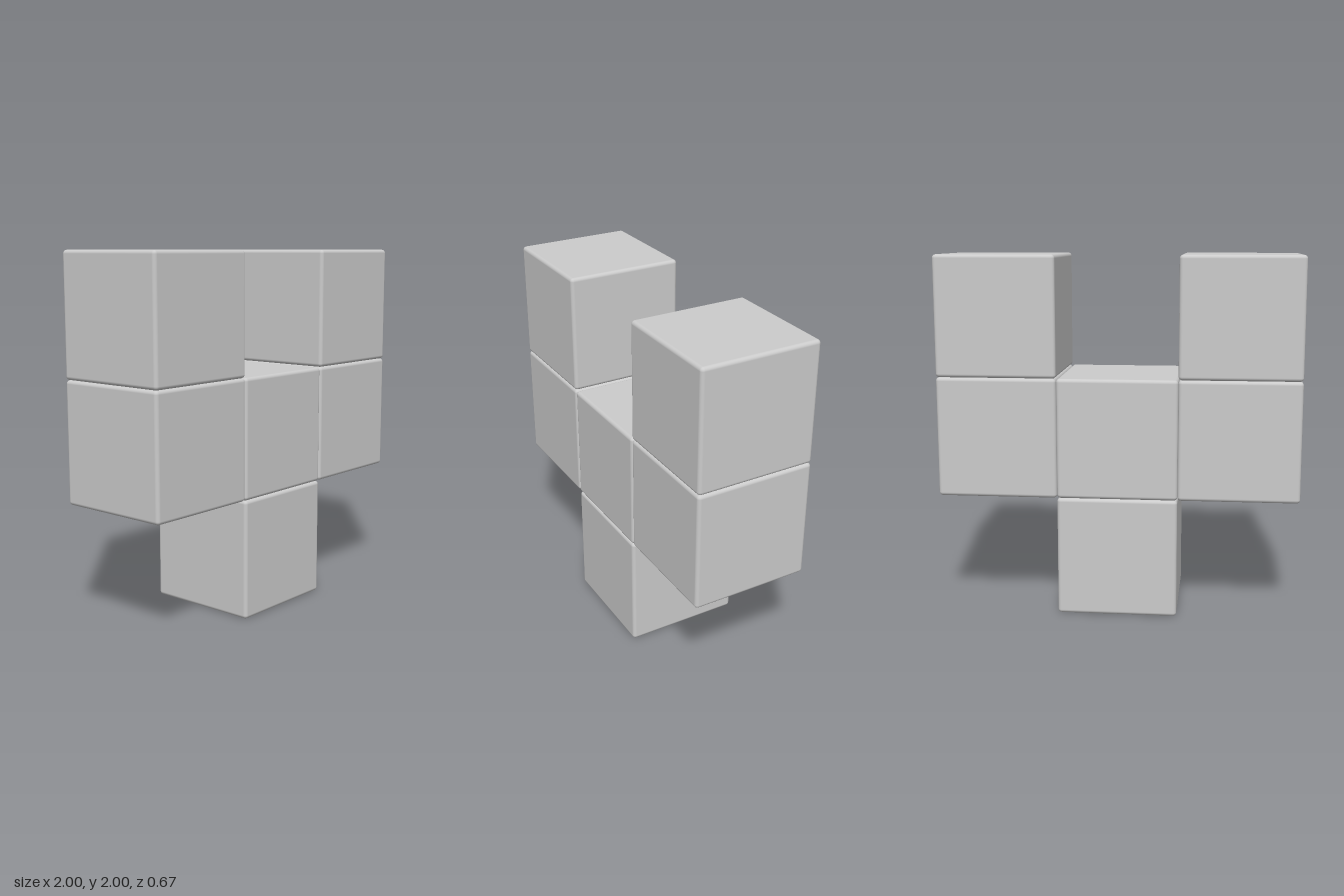
import * as THREE from 'three';
import { RoundedBoxGeometry } from 'three/addons/geometries/RoundedBoxGeometry.js';

export function createModel() {
  const model = new THREE.Group();
  model.name = 'cubeFigure';

  const size = 2 / 3;
  const material = new THREE.MeshStandardMaterial({ color: 0xcccccc });
  // One softly bevelled cube shared by every block
  const cube = new RoundedBoxGeometry(size, size, size, 3, 0.02);

  function addBlock(name, column, row) {
    const block = new THREE.Mesh(cube, material);
    block.name = name;
    block.position.set(column * size, (row + 0.5) * size, 0);
    model.add(block);
  }

  // Central column
  addBlock('baseBlock', 0, 0);
  addBlock('centreBlock', 0, 1);

  // Mirrored arms: one block out, one block up
  for (const [side, column] of [['left', 1], ['right', -1]]) {
    addBlock(side + 'LowerBlock', column, 1);
    addBlock(side + 'UpperBlock', column, 2);
  }

  return model;
}
